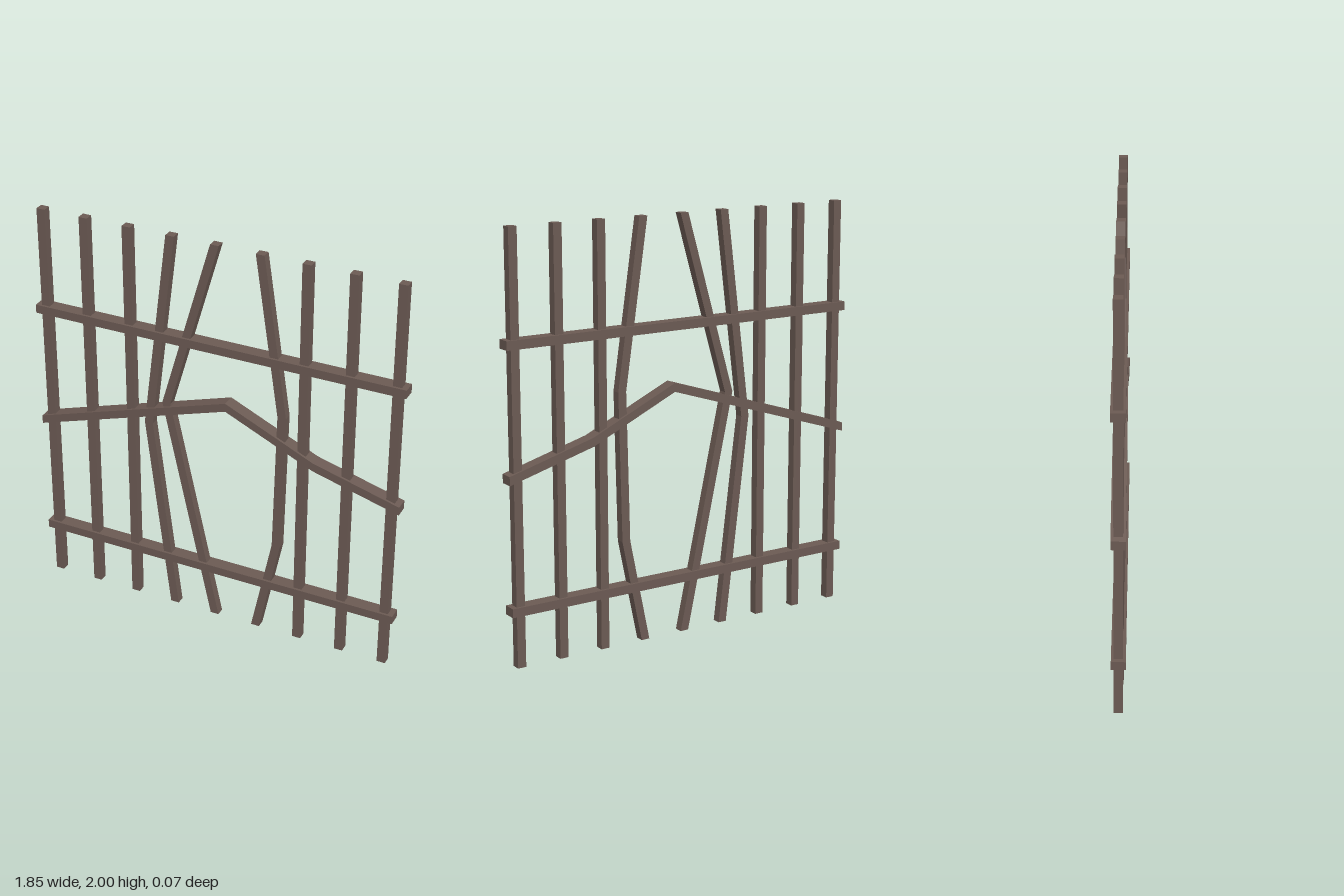
import * as THREE from 'three';

const BAR = 0.042;        // square section of the upright bars
const RAIL_HEIGHT = 0.042;
const RAIL_DEPTH = 0.066;

// Band along a centre line in the xy plane, widened by (ox, oy) each way
function bentStrip(points, ox, oy, depth) {
  const outline = [
    ...points.map(([x, y]) => new THREE.Vector2(x - ox, y - oy)),
    ...points.slice().reverse().map(([x, y]) => new THREE.Vector2(x + ox, y + oy)),
  ];
  const geometry = new THREE.ExtrudeGeometry(new THREE.Shape(outline), { depth, bevelEnabled: false });
  return geometry.translate(0, 0, -depth / 2);
}

export function createModel() {
  const group = new THREE.Group();
  const iron = new THREE.MeshStandardMaterial({ name: 'rusty iron', color: 0x6b5a53 });

  const add = (name, geometry, x = 0, y = 0) => {
    const mesh = new THREE.Mesh(geometry, iron);
    mesh.name = name;
    mesh.position.set(x, y, 0);
    group.add(mesh);
  };

  // Straight upright bars, three on each side
  for (const side of [-1, 1]) {
    for (let i = 2; i <= 4; i++) {
      add('straightBar', new THREE.BoxGeometry(BAR, 2, BAR), side * i * 0.22, 1);
    }
  }

  // Upright bars forced apart in the middle
  const bentBars = [
    [[-0.22, 0], [-0.345, 1.01], [-0.22, 2]],
    [[0, 0], [-0.25, 1.14], [0, 2]],
    [[0.22, 0], [0.322, 0.5], [0.338, 1.21], [0.22, 2]],
  ];
  for (const path of bentBars) add('bentBar', bentStrip(path, BAR / 2, 0, BAR));

  // Straight lower and upper rails
  for (const y of [0.27, 1.487]) {
    add('straightRail', new THREE.BoxGeometry(1.854, RAIL_HEIGHT, RAIL_DEPTH), 0, y);
  }

  // Buckled middle rail; points run right to left to keep the outline winding
  const rail = [[-0.927, 0.882], [0.06, 1.2], [0.5, 1.0], [0.927, 0.882]];
  add('bentRail', bentStrip(rail, 0, RAIL_HEIGHT / 2, RAIL_DEPTH));

  return group;
}
